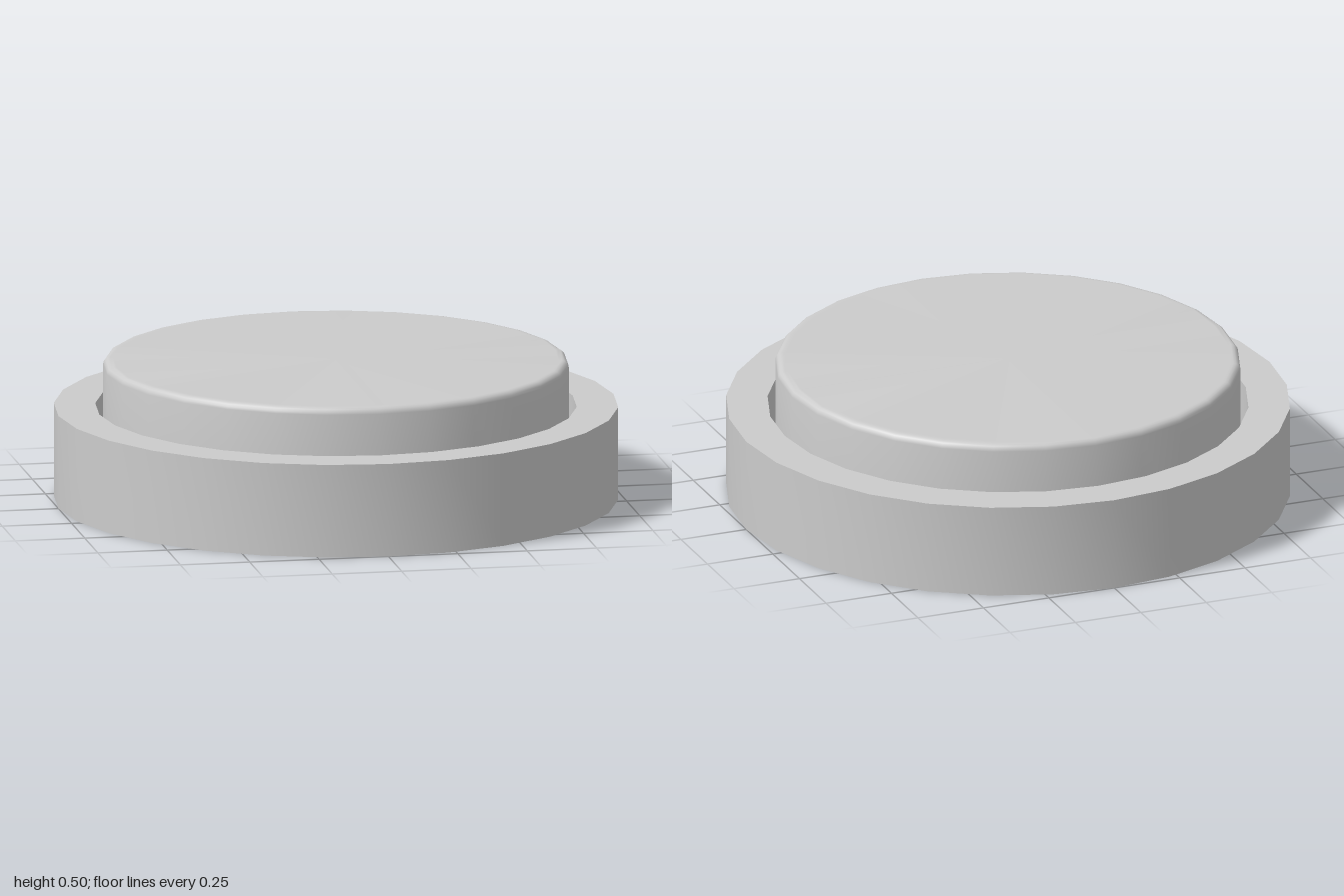
import * as THREE from 'three';
import { toCreasedNormals } from 'three/addons/utils/BufferGeometryUtils.js';

const SIDES = 28;
const material = new THREE.MeshStandardMaterial({ color: 0xcccccc });

// Turned part from a [radius, height] profile, smooth round the side and sharp at the rims
function turned(name, profile) {
  const points = profile.map(([r, y]) => new THREE.Vector2(r, y));
  const geometry = toCreasedNormals(new THREE.LatheGeometry(points, SIDES), 0.6);
  const mesh = new THREE.Mesh(geometry, material);
  mesh.name = name;
  return mesh;
}

export function createModel() {
  const group = new THREE.Group();
  group.name = 'pushButton';

  const rim = 0.335, floor = 0.1, top = 0.503;
  const capRadius = 0.825, fillet = 0.025;

  // Housing: closed underside, outer wall, rim and recessed well
  group.add(turned('housing', [
    [0, 0], [1, 0], [1, rim], [0.853, rim], [0.853, floor], [0, floor],
  ]));

  // Button cap: straight wall, rounded upper edge, flat top
  const cap = [[capRadius, floor]];
  for (let i = 0; i <= 4; i++) {
    const a = (i / 4) * Math.PI / 2;
    cap.push([
      capRadius - fillet + fillet * Math.cos(a),
      top - fillet + fillet * Math.sin(a),
    ]);
  }
  cap.push([0.79, top], [0, top]);
  group.add(turned('buttonCap', cap));

  return group;
}
